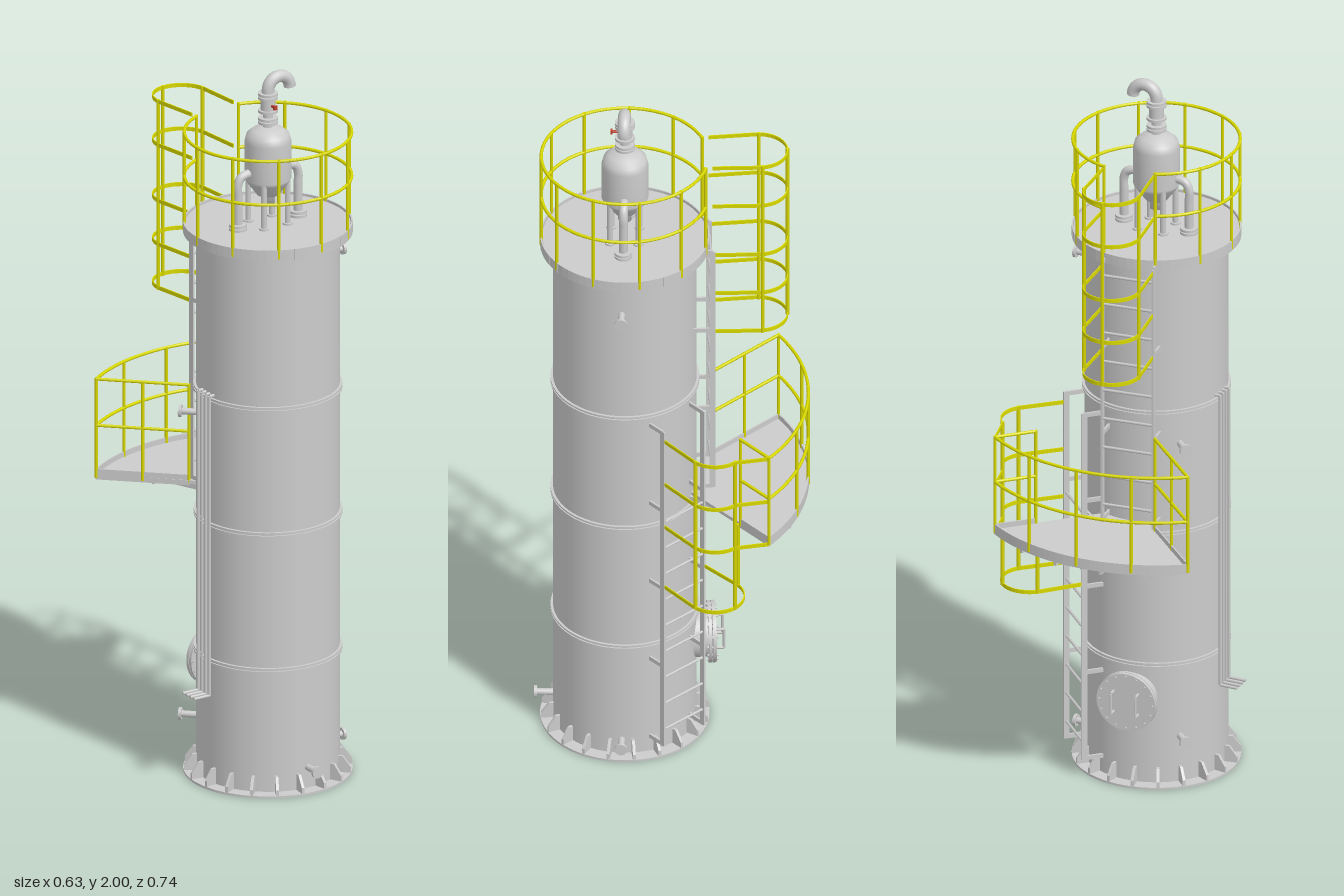
import * as THREE from 'three';
import { mergeGeometries } from 'three/addons/utils/BufferGeometryUtils.js';

const CX = -0.02, CZ = 0.125, R = 0.193, RAD = Math.PI / 180;
const grey = new THREE.MeshStandardMaterial({ color: 0xcccccc });
const greyOpen = new THREE.MeshStandardMaterial({ color: 0xcccccc, side: THREE.DoubleSide });
const yellow = new THREE.MeshStandardMaterial({ color: 0xd9d900 });
const red = new THREE.MeshStandardMaterial({ color: 0xc04030 });
const V = (x, y, z) => new THREE.Vector3(x, y, z);
const UP = V(0, 1, 0);

// point around the tank axis: azimuth from the back (-z) towards +x, with sideways offset t
const P = (az, r, y, t = 0) => {
  const s = Math.sin(az * RAD), c = Math.cos(az * RAD);
  return V(CX + r * s + t * c, y, CZ - r * c + t * s);
};
const arc = (a0, a1, r, y, n = 32) =>
  Array.from({ length: n + 1 }, (_, i) => P(a0 + (a1 - a0) * i / n, r, y));

// round bar between two points
function rod(a, b, r, sides = 8) {
  const d = b.clone().sub(a), g = new THREE.CylinderGeometry(r, r, d.length(), sides);
  g.applyQuaternion(new THREE.Quaternion().setFromUnitVectors(UP, d.normalize()));
  return g.translate((a.x + b.x) / 2, (a.y + b.y) / 2, (a.z + b.z) / 2);
}
// flat upright strip between two points on one level
function strip(a, b, w, h) {
  const d = b.clone().sub(a);
  return new THREE.BoxGeometry(w, h, d.length() + w * 0.5).rotateY(Math.atan2(d.x, d.z))
    .translate((a.x + b.x) / 2, (a.y + b.y) / 2, (a.z + b.z) / 2);
}
const chain = (pts, f, ...args) => pts.slice(1).map((p, i) => f(pts[i], p, ...args));
const disc = (r, h, x, y, z, n = 24) => new THREE.CylinderGeometry(r, r, h, n).translate(x, y + h / 2, z);
const bend = (pts, r) =>
  new THREE.TubeGeometry(new THREE.CatmullRomCurve3(pts, false, 'centripetal'), 40, r, 14);

export function createModel() {
  const root = new THREE.Group();
  const add = (name, parts, mat = grey) => {
    const m = new THREE.Mesh(mergeGeometries([parts].flat(Infinity)), mat);
    m.name = name;
    root.add(m);
  };

  // tank shell, seam rings, base and top deck
  add('tankShell', disc(R, 1.545, CX, 0, CZ, 72));
  add('seamRings', [0.355, 0.745, 1.105].map(y =>
    [disc(0.2, 0.005, CX, y - 0.007, CZ, 72), disc(0.2, 0.005, CX, y + 0.002, CZ, 72), disc(0.196, 0.01, CX, y - 0.005, CZ, 72)]));
  add('basePlate', disc(0.228, 0.006, CX, 0, CZ, 72));
  const gusset = new THREE.Shape([[0.185, 0], [0.227, 0], [0.227, 0.022], [0.205, 0.052], [0.185, 0.052]]
    .map(p => new THREE.Vector2(...p)));
  add('baseGussets', Array.from({ length: 20 }, (_, i) =>
    new THREE.ExtrudeGeometry(gusset, { depth: 0.008, bevelEnabled: false })
      .translate(0, 0, -0.004).rotateY((i + 0.5) * Math.PI / 10).translate(CX, 0, CZ)));
  add('topDeck', [disc(0.222, 0.012, CX, 1.557, CZ, 72), chain(arc(0, 360, 0.226, 1.56, 72), strip, 0.004, 0.03)]);

  // flanged nozzles
  const nozzles = [[90, 1.445], [90, 0.05], [180, 0.065], [-45, 1.01], [-45, 0.14]];
  add('nozzles', nozzles.map(([a, y]) => [
    rod(P(a, 0.18, y), P(a, 0.242, y), 0.009, 16),
    rod(P(a, 0.236, y), P(a, 0.244, y), 0.017, 20)]));

  // manhole at the back
  const mh = (r0, r1, rad) => rod(P(-6, r0, 0.26), P(-6, r1, 0.26), rad, 36);
  add('manhole', [mh(0.17, 0.225, 0.068), mh(0.222, 0.231, 0.084), mh(0.233, 0.243, 0.084)]);
  add('manholeHandles', [-0.035, 0.035].map(t =>
    chain([P(-6, 0.24, 0.23, t), P(-6, 0.265, 0.23, t), P(-6, 0.265, 0.29, t), P(-6, 0.24, 0.29, t)], rod, 0.004)));
  add('manholeBolts', Array.from({ length: 16 }, (_, i) => {
    const a = i * Math.PI / 8, y = 0.26 + 0.076 * Math.sin(a), t = 0.076 * Math.cos(a);
    return rod(P(-6, 0.218, y, t), P(-6, 0.248, y, t), 0.004, 6);
  }));

  // row of thin pipes down the side
  add('sidePipes', [0.095, 0.113, 0.131, 0.149].map(z =>
    chain([V(-0.19, 1.12, z), V(-0.225, 1.12, z), V(-0.225, 0.26, z), V(-0.275, 0.26, z)], rod, 0.0045)));

  // top deck guard rail, open at the ladder
  const A0 = 13, A1 = 335;
  add('topGuardRail', [
    [1.705, 1.83].map(y => chain(arc(A0, A1, 0.225, y, 64), rod, 0.0045)),
    Array.from({ length: 11 }, (_, i) => {
      const a = A0 + (A1 - A0) * i / 10;
      return rod(P(a, 0.225, 1.55), P(a, 0.225, 1.834), 0.0045);
    })], yellow);

  // rear platform: outer arc, slanted sides, curved inner edge
  const outer = y => arc(-35.7, 35.7, 0.495, y, 30);
  const deckPts = [...outer(0), ...arc(20.4, -20.4, 0.194, 0, 16)].map(p => new THREE.Vector2(p.x, -p.z));
  add('platformDeck', new THREE.ExtrudeGeometry(new THREE.Shape(deckPts), { depth: 0.01, bevelEnabled: false })
    .rotateX(-Math.PI / 2).translate(0, 0.77, 0));
  const cornerL = y => P(-35.7, 0.493, y), cornerR = y => P(35.7, 0.493, y);
  const innerL = y => V(-0.125, y, -0.1), gapR = y => V(0.185, y, -0.195);
  const edge = y => [innerL(y), ...arc(-35.7, 35.7, 0.493, y, 30), gapR(y)];
  add('platformToeBoard', chain(edge(0.78), strip, 0.004, 0.03));
  add('platformBeams', [
    [-22, -8, 8, 22].map(a => strip(P(a, 0.19, 0.762), P(a, 0.488, 0.762), 0.008, 0.018)),
    chain(arc(-28, 28, 0.35, 0.762, 16), strip, 0.006, 0.016)]);
  const posts = [innerL, gapR, y => innerL(y).lerp(cornerL(y), 0.5),
    ...[-35.7, -18, 0, 18, 35.7].map(a => y => P(a, 0.493, y))];
  add('platformGuardRail', [
    [0.92, 1.053].map(y => chain(edge(y), rod, 0.0045)),
    posts.map(f => rod(f(0.77), f(1.056), 0.0045))], yellow);

  // ladders with standoff brackets
  const HALF = 0.0725, LR = 0.231;
  const ladder = (name, az, y0, y1, rungTop) => {
    const parts = [];
    for (const t of [-HALF, HALF]) {
      const p = P(az, LR, (y0 + y1) / 2, t);
      parts.push(new THREE.BoxGeometry(0.006, y1 - y0, 0.016).rotateY(-az * RAD).translate(p.x, p.y, p.z));
      for (let y = y0 + 0.005; y < y1; y += 0.255)
        parts.push(strip(P(az, 0.17, y, t), P(az, LR, y, t), 0.006, 0.012));
    }
    for (let y = y0 + 0.05; y < rungTop; y += 0.085)
      parts.push(rod(P(az, LR, y, -HALF), P(az, LR, y, HALF), 0.004, 6));
    add(name, parts);
  };
  ladder('lowerLadder', 45, 0.05, 1.08, 0.8);
  ladder('upperLadder', -6.5, 0.785, 1.555, 1.55);

  // cage hoops: straight sides and a half-round front
  const HR = 0.078, HC = 0.36;
  const onHoop = (az, u, y) => P(az, HC + HR * Math.cos(u), y, HR * Math.sin(u));
  const hoop = (az, y, from = -Math.PI / 2) => {
    const pts = Array.from({ length: 19 }, (_, i) => onHoop(az, from + (Math.PI / 2 - from) * i / 18, y));
    if (from < -1) pts.unshift(P(az, LR, y, -HALF));
    return [...pts, P(az, LR, y, HALF)];
  };
  const cageBars = (az, us, y0, y1) => us.map(u => rod(onHoop(az, u, y0), onHoop(az, u, y1), 0.005, 6));
  add('upperLadderCage', [
    [1.295, 1.42, 1.545, 1.705, 1.83].map(y => chain(hoop(-6.5, y), strip, 0.003, 0.011)),
    cageBars(-6.5, [-1.5, 0, 1.5], 1.29, 1.835)], yellow);
  add('lowerLadderCage', [
    chain(hoop(45, 0.573), strip, 0.003, 0.011),
    [0.77, 0.91, 1.05].map(y => chain([cornerR(y), ...hoop(45, y, 0)], strip, 0.003, 0.011)),
    cageBars(45, [0, 1.5], 0.57, 1.055), cageBars(45, [-1.5], 0.57, 0.775)], yellow);

  // small vessel on the top deck
  const profile = [[0, 1.625], [0.018, 1.625], [0.018, 1.648], [0.03, 1.652], [0.058, 1.69], [0.063, 1.7],
    [0.063, 1.805], [0.058, 1.825], [0.043, 1.838], [0.02, 1.846], [0, 1.848]];
  add('vessel', new THREE.LatheGeometry(profile.map(p => new THREE.Vector2(...p)), 40).translate(CX, 0, CZ));
  add('vesselLegs', [45, 135, 225, 315].map(a => {
    const p = P(a, 0.054, 0);
    return [rod(V(p.x, 1.565, p.z), V(p.x, 1.71, p.z), 0.008, 10), disc(0.014, 0.005, p.x, 1.569, p.z, 12)];
  }));
  add('vesselSidePipes', [-1, 1].map(s => {
    const x = d => CX + s * d;
    return [
      bend([V(x(0.05), 1.722, CZ), V(x(0.07), 1.722, CZ), V(x(0.088), 1.715, CZ), V(x(0.097), 1.695, CZ),
        V(x(0.097), 1.66, CZ), V(x(0.097), 1.565, CZ)], 0.012),
      disc(0.024, 0.007, x(0.097), 1.569, CZ), disc(0.024, 0.007, x(0.097), 1.579, CZ)];
  }));

  // outlet neck, valve and gooseneck vent
  add('outletNeck', [disc(0.014, 0.1, CX, 1.84, CZ),
    [1.856, 1.866, 1.888, 1.926, 1.936].map(y => disc(0.027, 0.007, CX, y, CZ)), disc(0.02, 0.03, CX, 1.895, CZ)]);
  add('valveHandle', [rod(V(CX, 1.91, CZ), V(CX, 1.91, CZ + 0.034), 0.004),
    new THREE.BoxGeometry(0.01, 0.012, 0.006).translate(CX, 1.91, CZ + 0.036)], red);
  const neck = Array.from({ length: 13 }, (_, i) => {
    const a = Math.PI * (1 - i / 12);
    return V(0.015 + 0.035 * Math.cos(a), 1.948 + 0.035 * Math.sin(a), CZ);
  });
  add('gooseneckVent', bend([V(CX, 1.935, CZ), ...neck], 0.017), greyOpen);

  return root;
}
